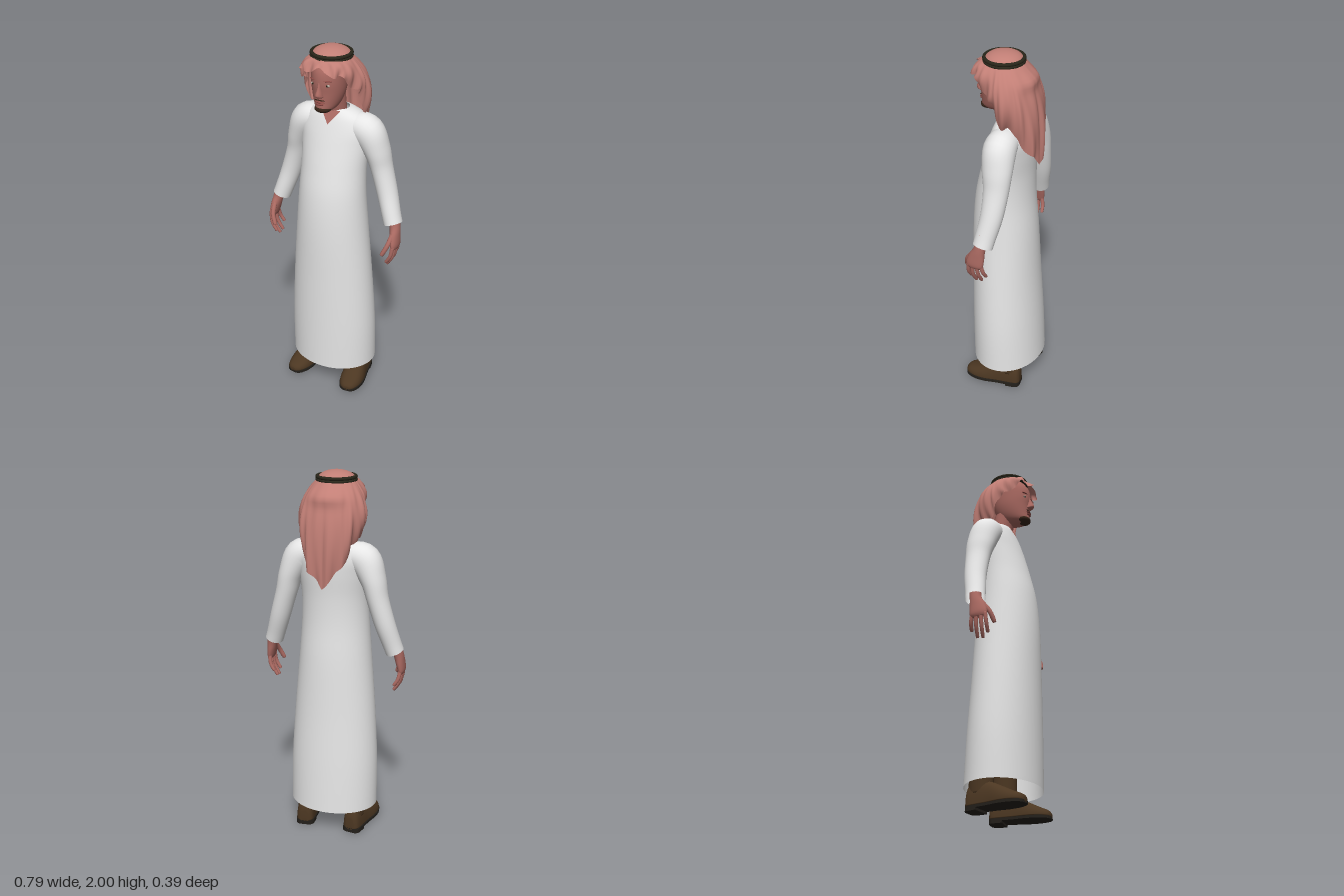
import * as THREE from 'three';

const mat = (name, color, side = THREE.FrontSide) => {
  const m = new THREE.MeshStandardMaterial({ color, side });
  m.name = name;
  return m;
};

// Smooth interpolation through rows of numbers, t measured in row index
function sample(rows, t) {
  const last = rows.length - 1;
  const i = Math.min(Math.floor(t), last - 1), f = t - i;
  const at = (k) => rows[Math.max(0, Math.min(last, k))];
  const [a, b, c, d] = [at(i - 1), at(i), at(i + 1), at(i + 2)];
  return b.map((_, k) => b[k] + 0.5 * f * (c[k] - a[k]
    + f * (2 * a[k] - 5 * b[k] + 4 * c[k] - d[k] + f * (3 * (b[k] - c[k]) + d[k] - a[k]))));
}
const resample = (rows, n) =>
  Array.from({ length: n + 1 }, (_, i) => sample(rows, (i / n) * (rows.length - 1)));

// Skin closed rings of points into a surface, optionally capped
function loft(rings, capped = false) {
  const n = rings[0].length, pos = [], index = [];
  rings.forEach((r) => r.forEach((p) => pos.push(p.x, p.y, p.z)));
  for (let j = 0; j < rings.length - 1; j++) {
    for (let i = 0; i < n; i++) {
      const a = j * n + i, b = j * n + (i + 1) % n;
      index.push(a, b, b + n, a, b + n, a + n);
    }
  }
  if (capped) {
    [0, rings.length - 1].forEach((j) => {
      const c = new THREE.Vector3();
      rings[j].forEach((p) => c.addScaledVector(p, 1 / n));
      const k = pos.length / 3;
      pos.push(c.x, c.y, c.z);
      for (let i = 0; i < n; i++) {
        const a = j * n + i, b = j * n + (i + 1) % n;
        if (j) index.push(k, a, b); else index.push(k, b, a);
      }
    });
  }
  const g = new THREE.BufferGeometry();
  g.setAttribute('position', new THREE.Float32BufferAttribute(pos, 3));
  g.setIndex(index);
  g.computeVertexNormals();
  return g;
}
const ring = (n, fn) => Array.from({ length: n }, (_, i) => fn((i / n) * Math.PI * 2));

// Upright body from rows of [y, half width, front z, back z]
const upright = (rows, steps, n, capped) => loft(resample(rows, steps).map(([y, w, f, b]) =>
  ring(n, (a) => new THREE.Vector3(w * Math.sin(a), y, (f + b) / 2 + (f - b) / 2 * Math.cos(a)))), capped);

// Limb along rows of [x, y, z, side radius, depth radius]
function limb(rows, s, steps, n, capped) {
  const pts = resample(rows.map(([x, ...r]) => [x * s, ...r]), steps);
  const P = pts.map((p) => new THREE.Vector3(p[0], p[1], p[2]));
  return loft(pts.map((p, i) => {
    const t = P[Math.min(i + 1, steps)].clone().sub(P[Math.max(i - 1, 0)]).normalize();
    const v = new THREE.Vector3(0, 0, 1).addScaledVector(t, -t.z).normalize();
    const u = v.clone().cross(t);
    return ring(n, (a) => P[i].clone().addScaledVector(u, p[3] * Math.cos(a)).addScaledVector(v, p[4] * Math.sin(a)));
  }), capped);
}

export function createModel() {
  const model = new THREE.Group();
  model.name = 'robedMan';
  const white = mat('robeWhite', 0xe6e6e6, THREE.DoubleSide);
  const cloth = mat('headclothPink', 0xc27f76, THREE.DoubleSide);
  const skin = mat('skin', 0xab6a62, THREE.DoubleSide);
  const lip = mat('lips', 0x8c4a45);
  const hair = mat('beardBrown', 0x38261a);
  const eyeMat = mat('eyeGrey', 0xb5a79c);
  const cord = mat('cordBlack', 0x29261a);
  const leather = mat('shoeBrown', 0x4c3722);
  const soleMat = mat('soleDark', 0x24201b);
  const add = (name, geo, material, parent = model) => {
    const m = new THREE.Mesh(geo, material);
    m.name = name;
    parent.add(m);
    return m;
  };
  const blob = (name, material, p, s) => {
    const m = add(name, new THREE.SphereGeometry(1, 20, 14), material);
    m.position.set(...p);
    m.scale.set(...s);
    return m;
  };

  // Long robe, open at the hem and neck
  add('robe', upright([
    [0.14, 0.245, 0.195, -0.195], [0.4, 0.243, 0.196, -0.182], [0.7, 0.225, 0.196, -0.163],
    [1.0, 0.2, 0.195, -0.148], [1.2, 0.185, 0.18, -0.132], [1.35, 0.18, 0.148, -0.13],
    [1.48, 0.19, 0.112, -0.138], [1.56, 0.198, 0.087, -0.138], [1.62, 0.17, 0.066, -0.125],
    [1.655, 0.11, 0.05, -0.098], [1.668, 0.072, 0.043, -0.075],
  ], 60, 48), white);

  // Neck and the small open throat of the collar
  add('neck', upright([[1.58, 0.06, 0.035, -0.07], [1.66, 0.06, 0.048, -0.06], [1.75, 0.06, 0.075, -0.05]], 8, 24), skin);
  const throat = new THREE.BufferGeometry();
  throat.setAttribute('position', new THREE.Float32BufferAttribute(
    [-0.055, 1.665, 0.045, 0, 1.595, 0.08, 0.055, 1.665, 0.045], 3));
  throat.computeVertexNormals();
  add('throatOpening', throat, skin);

  // Head
  add('head', upright([
    [1.682, 0.026, 0.138, 0.05], [1.70, 0.05, 0.155, 0.0], [1.735, 0.068, 0.155, -0.03],
    [1.785, 0.081, 0.157, -0.05], [1.84, 0.086, 0.162, -0.06], [1.9, 0.086, 0.155, -0.06],
    [1.95, 0.075, 0.125, -0.045],
  ], 36, 36, true), skin);
  add('nose', upright([
    [1.764, 0.01, 0.158, 0.135], [1.772, 0.021, 0.177, 0.13], [1.785, 0.018, 0.187, 0.13],
    [1.815, 0.011, 0.173, 0.13], [1.85, 0.009, 0.161, 0.13],
  ], 16, 16, true), skin);
  blob('upperLip', lip, [0, 1.743, 0.154], [0.026, 0.005, 0.009]);
  blob('lowerLip', lip, [0, 1.731, 0.153], [0.022, 0.006, 0.01]);
  blob('moustache', hair, [0, 1.753, 0.154], [0.03, 0.003, 0.005]);
  blob('goatee', hair, [0, 1.7, 0.122], [0.044, 0.021, 0.04]);
  for (const s of [-1, 1]) {
    const side = s > 0 ? 'left' : 'right';
    blob(side + 'Eye', eyeMat, [s * 0.04, 1.833, 0.146], [0.014, 0.006, 0.007]);
    blob(side + 'Iris', cord, [s * 0.04, 1.833, 0.151], [0.005, 0.005, 0.003]);
    const brow = blob(side + 'Brow', lip, [s * 0.042, 1.856, 0.148], [0.021, 0.003, 0.006]);
    brow.rotation.y = s * 0.4;
  }

  // Headcloth: crown and cord rings
  const crown = add('headclothCrown', new THREE.SphereGeometry(0.1, 36, 12, 0, Math.PI * 2, 0, Math.PI / 2), cloth);
  crown.position.set(0, 1.95, 0.033);
  crown.scale.y = 0.5;
  for (const y of [1.951, 1.966]) {
    const r = add('headCord', new THREE.TorusGeometry(0.099, 0.0095, 10, 48), cord);
    r.rotation.x = Math.PI / 2;
    r.position.set(0, y, 0.033);
  }

  // Headcloth drape: per column [angle, middle x y z, hem x y z], front to back
  const drape = [
    [0, 0, 1.945, 0.152, 0, 1.915, 0.183],
    [30, 0.078, 1.94, 0.142, 0.088, 1.9, 0.165],
    [60, 0.126, 1.915, 0.095, 0.122, 1.86, 0.115],
    [90, 0.153, 1.87, 0.025, 0.148, 1.79, 0.04],
    [105, 0.172, 1.82, -0.025, 0.15, 1.675, -0.015],
    [120, 0.145, 1.8, -0.095, 0.125, 1.625, -0.08],
    [145, 0.095, 1.77, -0.14, 0.085, 1.51, -0.155],
    [180, 0, 1.76, -0.16, 0, 1.43, -0.172],
  ];
  const cols = 112, rows = 24, rings = [];
  for (let j = rows; j >= 0; j--) {
    const v = j / rows;
    rings.push(ring(cols, (a) => {
      const u = a > Math.PI ? a - 2 * Math.PI : a, s = Math.sign(u);
      const [deg, mx, my, mz, hx, hy, hz] = sample(drape, Math.abs(u) / Math.PI * 7);
      const r = THREE.MathUtils.degToRad(deg);
      const top = [0.099 * Math.sin(r), 1.955, 0.033 + 0.099 * Math.cos(r)];
      const [x, y, z] = [[mx, hx], [my, hy], [mz, hz]].map(([m, h], k) =>
        top[k] * (1 - v) * (1 - 2 * v) + m * 4 * v * (1 - v) + h * v * (2 * v - 1));
      // soft folds and an uneven hem
      const fold = v * (0.008 * Math.sin(13 * u + 3 * v) + 0.006 * Math.sin(22 * u - 4 * v + 1));
      const knot = 0.022 * Math.exp(-(((y - 1.88) / 0.035) ** 2)) * Math.max(0, -Math.cos(r)) ** 3;
      const push = fold + knot;
      return new THREE.Vector3(s * x + push * s * Math.sin(r) + 0.012 * v * Math.max(0, -Math.cos(r)),
        y + 0.014 * v ** 3 * Math.sin(9 * u + 1), z + push * Math.cos(r));
    }));
  }
  add('headclothDrape', loft(rings), cloth);

  // Sleeves, hands and shoes on both sides
  const fingers = {
    index: [[0.374, 0.965, 0.055], [0.366, 0.91, 0.06], [0.342, 0.868, 0.058]],
    middle: [[0.376, 0.96, 0.032], [0.366, 0.895, 0.034], [0.338, 0.845, 0.03]],
    ring: [[0.376, 0.96, 0.008], [0.366, 0.9, 0.004], [0.338, 0.85, 0.0]],
    little: [[0.374, 0.97, -0.014], [0.366, 0.92, -0.025], [0.345, 0.885, -0.03]],
    thumb: [[0.362, 1.025, 0.035], [0.352, 0.975, 0.072], [0.33, 0.925, 0.088]],
  };
  for (const s of [-1, 1]) {
    const side = s > 0 ? 'left' : 'right';
    add(side + 'Sleeve', limb([
      [0.1, 1.58, -0.03, 0.068, 0.075], [0.175, 1.555, -0.03, 0.085, 0.085],
      [0.225, 1.46, -0.04, 0.067, 0.08], [0.252, 1.36, -0.046, 0.057, 0.068],
      [0.29, 1.23, -0.04, 0.054, 0.06], [0.325, 1.12, -0.022, 0.05, 0.055],
      [0.342, 1.07, -0.014, 0.049, 0.054],
    ], s, 30, 28), white);

    const hand = new THREE.Group();
    hand.name = side + 'Hand';
    model.add(hand);
    add('palm', limb([
      [0.335, 1.14, -0.018, 0.034, 0.034], [0.358, 1.06, -0.004, 0.028, 0.032],
      [0.367, 1.01, 0.01, 0.024, 0.044], [0.374, 0.965, 0.02, 0.019, 0.048],
      [0.374, 0.945, 0.022, 0.011, 0.04],
    ], s, 16, 18, true), skin, hand);
    for (const [name, path] of Object.entries(fingers)) {
      const r = name === 'thumb' ? 0.014 : 0.0115;
      const tip = path[2].map((c, k) => c + (c - path[1][k]) * 0.08);
      const shape = [...path.map((p, i) => [...p, r - i * 0.0015, r - i * 0.0015]), [...tip, 0.003, 0.003]];
      add(name + 'Finger', limb(shape, s, 12, 10, true), skin, hand);
    }

    // Shoe upper from rows of [z, half width, top y], turned slightly outward
    const shoe = new THREE.Group();
    shoe.name = side + 'Shoe';
    shoe.position.x = s * 0.153;
    shoe.rotation.y = s * 0.13;
    model.add(shoe);
    const outline = [
      [-0.135, 0.024, 0.09], [-0.118, 0.045, 0.14], [-0.06, 0.052, 0.16], [0.0, 0.056, 0.145],
      [0.07, 0.065, 0.112], [0.13, 0.06, 0.082], [0.175, 0.04, 0.062], [0.19, 0.016, 0.045],
    ];
    add('upper', loft(resample(outline, 28).map(([z, w, top]) => ring(24, (a) => {
      const sy = Math.sin(a), cx = Math.cos(a);
      return new THREE.Vector3(w * Math.sign(cx) * Math.abs(cx) ** 0.75, sy > 0 ? 0.035 + (top - 0.035) * sy : 0.035 + 0.015 * sy, z);
    })), true), leather, shoe);
    add('shaft', limb([
      [0, 0.09, -0.06, 0.048, 0.066], [0, 0.16, -0.06, 0.05, 0.066], [0, 0.34, -0.055, 0.054, 0.062],
    ], s, 10, 24, true), leather, shoe);

    // Sole and heel plates follow the same outline
    const plate = (name, rowsUsed, y, h) => {
      const edge = resample(rowsUsed, 16).map(([z, w]) => [w + 0.003, -z]);
      const pts = [...edge, ...edge.map(([w, z]) => [-w, z]).reverse()].map(([x, z]) => new THREE.Vector2(x, z));
      const g = new THREE.ExtrudeGeometry(new THREE.Shape(pts), { depth: h, bevelEnabled: false });
      g.rotateX(-Math.PI / 2);
      add(name, g, soleMat, shoe).position.y = y;
    };
    plate('sole', outline, 0.015, 0.014);
    plate('heel', outline.slice(0, 3), 0.003, 0.02);
  }
  return model;
}
